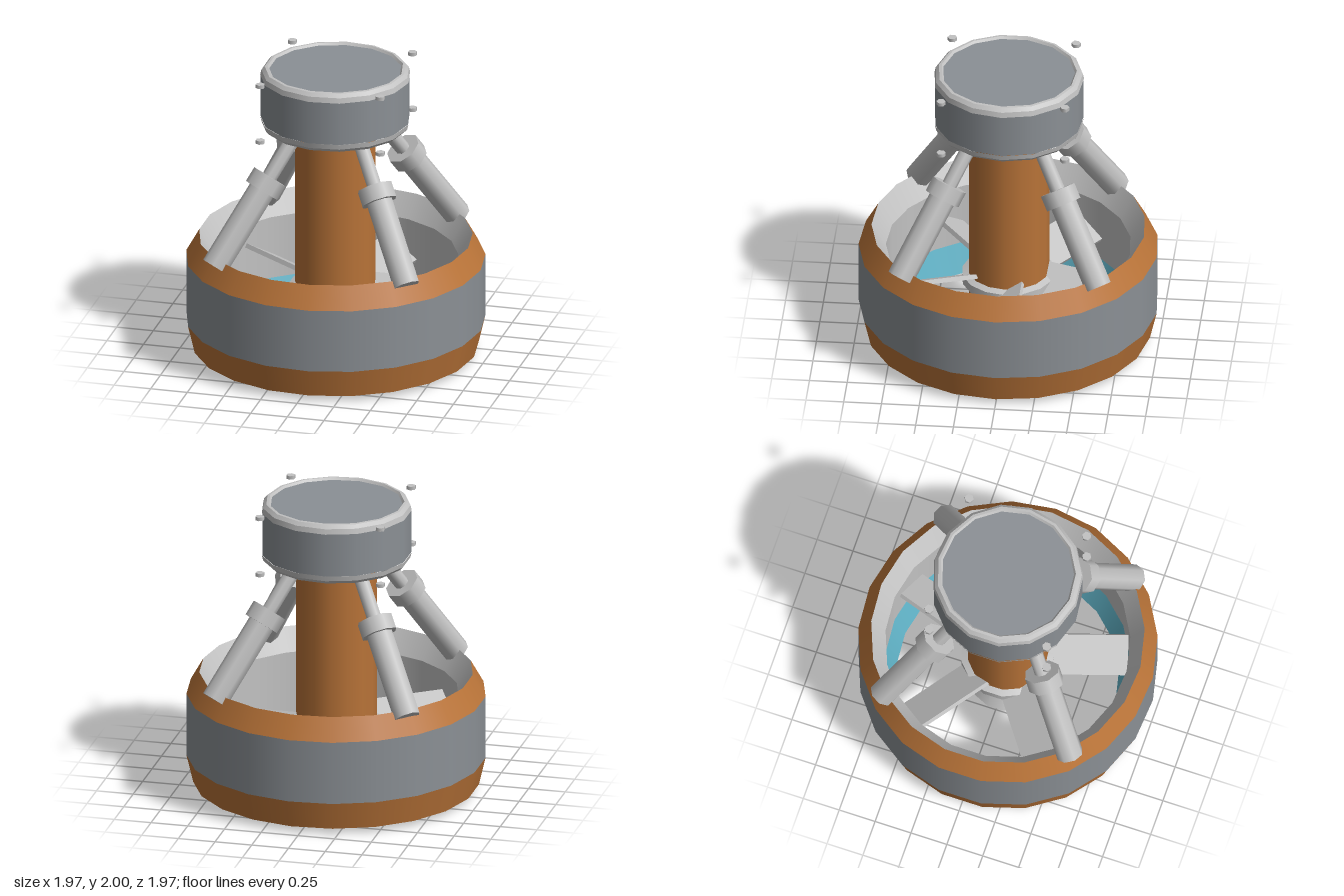
import * as THREE from 'three';

const mat = (name, color, side = THREE.FrontSide) => {
  const m = new THREE.MeshStandardMaterial({ color, side });
  m.name = name;
  return m;
};

export function createModel() {
  const copper = mat('copper', 0xb87338);
  const steel = mat('steel', 0x8b9095);
  const silver = mat('silver', 0xc2c2c2);
  const teal = mat('teal', 0x5fb0c4);

  const model = new THREE.Group();
  model.name = 'thruster';

  const add = (parent, name, geometry, material) => {
    const mesh = new THREE.Mesh(geometry, material);
    mesh.name = name;
    parent.add(mesh);
    return mesh;
  };

  // Each profile step is its own lathe, so bands stay smooth around and sharp between
  const band = (parent, name, sides, material, points) => {
    for (let i = 0; i < points.length - 1; i++) {
      const pair = [points[i], points[i + 1]].map(([r, y]) => new THREE.Vector2(r, y));
      add(parent, name, new THREE.LatheGeometry(pair, sides, Math.PI / 2), material);
    }
  };

  // Cylinder running between two points
  const UP = new THREE.Vector3(0, 1, 0);
  const rod = (parent, name, a, b, radius, sides, material) => {
    const dir = b.clone().sub(a);
    const mesh = add(parent, name, new THREE.CylinderGeometry(radius, radius, dir.length(), sides), material);
    mesh.position.copy(a).add(b).multiplyScalar(0.5);
    mesh.quaternion.setFromUnitVectors(UP, dir.normalize());
  };

  // Everything turned has odd side counts, so it is shifted to stay centred
  const body = new THREE.Group();
  body.name = 'body';
  body.position.x = -0.005;
  model.add(body);

  // Duct ring: outside going up, inside going down
  const duct = new THREE.Group();
  duct.name = 'duct';
  body.add(duct);
  band(duct, 'ductLowerBand', 21, copper, [[0.82, 0], [0.945, 0.04], [0.99, 0.23]]);
  band(duct, 'ductMiddleBand', 21, steel, [[0.99, 0.23], [0.99, 0.66]]);
  band(duct, 'ductUpperBand', 21, copper, [[0.99, 0.66], [0.905, 0.81]]);
  band(duct, 'ductInnerWall', 21, silver, [[0.905, 0.81], [0.81, 0.66], [0.81, 0.23]]);
  band(duct, 'ductInnerLip', 21, teal, [[0.81, 0.23], [0.735, 0.04], [0.82, 0]]);

  // Central column, hub and flared nozzle
  band(body, 'column', 15, copper, [[0, 0.3], [0.268, 0.3], [0.268, 1.52], [0, 1.52]]);
  band(body, 'columnNeck', 15, silver, [[0.25, 1.52], [0.25, 1.6]]);
  band(body, 'hub', 15, silver, [[0.26, 0.38], [0.31, 0.4], [0.31, 0.46], [0.26, 0.48]]);
  band(body, 'nozzle', 15, silver, [[0.26, 0.05], [0.12, 0.31]]);
  band(body, 'nozzleBase', 15, steel, [[0, 0.05], [0.26, 0.05]]);

  // Five pitched blades
  for (let i = 0; i < 5; i++) {
    const arm = new THREE.Group();
    arm.name = 'bladeArm';
    arm.rotation.y = (i * Math.PI * 2) / 5;
    const blade = add(arm, 'blade', new THREE.BoxGeometry(0.58, 0.03, 0.27), silver);
    blade.position.set(0.505, 0.45, 0);
    blade.rotation.x = Math.PI / 6;
    body.add(arm);
  }

  // Head drum with rounded rims
  const head = new THREE.Group();
  head.name = 'head';
  body.add(head);
  const rim = [[0.498, 1.94], [0.49, 1.975], [0.468, 1.998], [0.45, 2], [0.438, 1.985]];
  band(head, 'headWall', 15, steel, [[0.495, 1.645], [0.495, 1.94]]);
  band(head, 'headTopRim', 15, silver, rim);
  band(head, 'headBottomRim', 15, silver, rim.map(([r, y]) => [r, 3.585 - y]).reverse());
  band(head, 'headTop', 15, steel, [[0.44, 1.985], [0, 1.985]]);
  band(head, 'headBottom', 15, steel, [[0, 1.6], [0.44, 1.6]]);

  // Four struts and their bolts, one per diagonal
  for (const sx of [-1, 1]) {
    for (const sz of [-1, 1]) {
      const strut = new THREE.Group();
      strut.name = 'strut';
      model.add(strut);
      const foot = new THREE.Vector3(sx * 0.655, 0.77, sz * 0.655);
      const top = new THREE.Vector3(sx * 0.205, 1.61, sz * 0.205);
      const at = (t) => foot.clone().lerp(top, t);
      rod(strut, 'strutSleeve', foot, at(0.62), 0.09, 8, silver);
      rod(strut, 'strutCollar', at(0.56), at(0.66), 0.122, 8, silver);
      rod(strut, 'strutPiston', at(0.6), top, 0.05, 8, silver);

      for (const [d, y] of [[0.41, 1.985], [0.41, 1.59], [0.175, 1.57]]) {
        const bolt = add(model, 'bolt', new THREE.CylinderGeometry(0.031, 0.031, 0.024, 6), silver);
        bolt.position.set(sx * d, y, sz * d);
      }
    }
  }

  return model;
}
